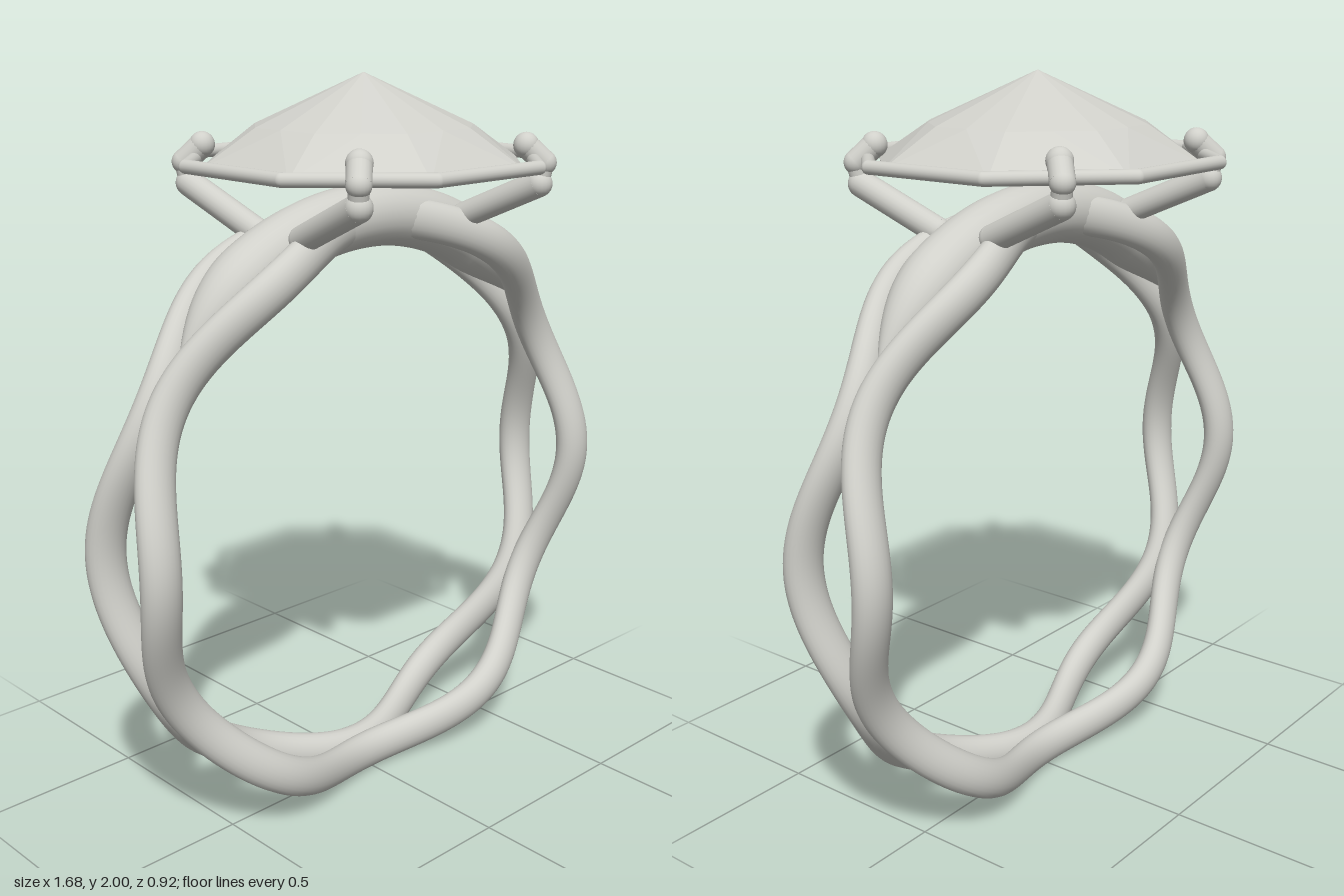
import * as THREE from 'three';
import { ParametricGeometry } from 'three/addons/geometries/ParametricGeometry.js';

const RING_Y = 0.84;
const RAD = Math.PI / 180;

export function createModel() {
  const model = new THREE.Group();
  const metal = new THREE.MeshStandardMaterial({ color: 0xd0d0ca });
  metal.name = 'pale grey';

  const add = (name, geometry, parent = model) => {
    const mesh = new THREE.Mesh(geometry, metal);
    mesh.name = name;
    parent.add(mesh);
    return mesh;
  };

  // Sweeps an ellipse around the ring axis; section(a) gives [radius, z, radial half, z half]
  const sweep = (from, to, steps, section) => new ParametricGeometry((u, v, p) => {
    const a = from + (to - from) * u;
    const f = v * Math.PI * 2;
    const [radius, z, hr, hz] = section(a);
    const r = radius + hr * Math.cos(f);
    p.set(r * Math.cos(a), RING_Y + r * Math.sin(a), z + hz * Math.sin(f));
  }, steps, 24);

  // Two wavy strands that meet every sixty degrees
  for (const side of [1, -1]) {
    add(side > 0 ? 'frontStrand' : 'backStrand', sweep(0, Math.PI * 2, 240,
      (a) => [0.785, side * (0.0715 + 0.0455 * Math.cos(6 * a)), 0.055, 0.043]));
  }

  // Thick bridge under the stone, tapering into the gaps between the strands
  const start = 38 * RAD, end = 142 * RAD;
  add('bridge', sweep(start, end, 80, (a) => {
    const d = Math.max(0, Math.min(a - start, end - a));
    const s = Math.max(0.01, Math.sin(Math.PI / 2 * Math.min(1, d / (22 * RAD))));
    return [0.79, 0, 0.085 * s, 0.085 * s];
  }));

  // Faceted eight-sided stone with a flat underside
  const polar = (r, y, deg) => [r * Math.cos(deg * RAD), y, r * Math.sin(deg * RAD)];
  const apex = [0, 2, 0], base = [0, 1.765, 0];
  const facets = [];
  for (let i = 0; i < 8; i++) {
    const a = 22.5 + i * 45, b = a + 45, m = a + 22.5;
    const ra = polar(0.444, 1.77, a), rb = polar(0.444, 1.77, b);
    const la = polar(0.444, 1.765, a), lb = polar(0.444, 1.765, b);
    const ia = polar(0.295, 1.868, a), ib = polar(0.295, 1.868, b);
    const im = polar(0.285, 1.87, m);
    facets.push(
      apex, im, ia, apex, ib, im,
      ia, im, ra, im, ib, rb, im, rb, ra,
      ra, rb, lb, ra, lb, la,
      base, la, lb,
    );
  }
  const stone = new THREE.BufferGeometry();
  stone.setAttribute('position', new THREE.Float32BufferAttribute(facets.flat(), 3));
  stone.computeVertexNormals();
  add('stone', stone);

  // Round rod between two points
  const rod = (name, p, q, r, parent) => {
    const dir = q.clone().sub(p);
    const mesh = add(name, new THREE.CylinderGeometry(r, r, dir.length(), 20), parent);
    mesh.position.copy(p).add(q).multiplyScalar(0.5);
    mesh.quaternion.setFromUnitVectors(new THREE.Vector3(0, 1, 0), dir.normalize());
  };
  const ball = (name, p, r, parent) =>
    add(name, new THREE.SphereGeometry(r, 20, 14), parent).position.copy(p);

  // Eight-sided wire frame around the stone
  const frame = new THREE.Group();
  frame.name = 'frame';
  model.add(frame);
  for (let i = 0; i < 8; i++) {
    const p = new THREE.Vector3(...polar(0.4795, 1.778, 22.5 + i * 45));
    const q = new THREE.Vector3(...polar(0.4795, 1.778, 67.5 + i * 45));
    rod('frameRod', p, q, 0.018, frame);
    ball('frameCorner', p, 0.018, frame);
  }

  // Four bent prongs rising from the band and hooking over the frame
  const path = [[0.295, 1.61, 0.09], [0.327, 1.715, 0.325], [0.335, 1.77, 0.335], [0.3, 1.815, 0.3]];
  for (const sx of [1, -1]) {
    for (const sz of [1, -1]) {
      const prong = new THREE.Group();
      prong.name = 'prong';
      model.add(prong);
      const pts = path.map(([x, y, z]) => new THREE.Vector3(x * sx, y, z * sz));
      const radii = [0.036, 0.026, 0.032];
      radii.forEach((r, i) => rod('prongRod', pts[i], pts[i + 1], r, prong));
      ball('prongBase', pts[0], 0.036, prong);
      ball('prongElbow', pts[1], 0.036, prong);
      ball('prongBend', pts[2], 0.032, prong);
      ball('prongTip', pts[3], 0.034, prong);
    }
  }

  return model;
}
